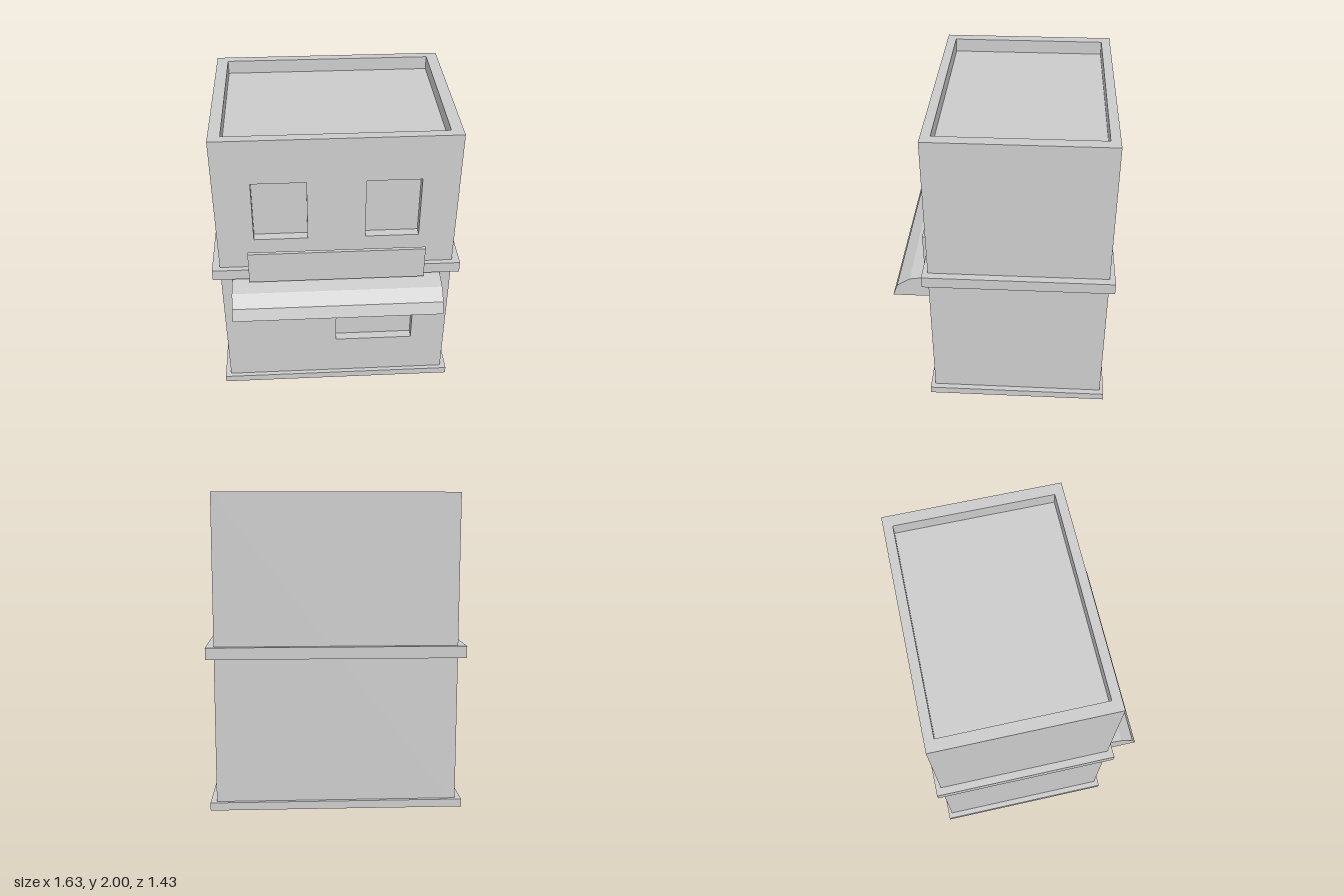
import * as THREE from 'three';

const material = new THREE.MeshStandardMaterial({ color: 0xcccccc, flatShading: true });

export function createModel() {
  const model = new THREE.Group();
  model.name = 'shopBuilding';

  const add = (name, geometry) => {
    const mesh = new THREE.Mesh(geometry, material);
    mesh.name = name;
    model.add(mesh);
  };
  // Box given by its limits on each axis
  const box = (name, [x0, x1], [y0, y1], [z0, z1]) => {
    const g = new THREE.BoxGeometry(x1 - x0, y1 - y0, z1 - z0);
    g.translate((x0 + x1) / 2, (y0 + y1) / 2, (z0 + z1) / 2);
    add(name, g);
  };
  const polygon = (points) => new THREE.Shape(points.map(([x, y]) => new THREE.Vector2(x, y)));
  const rect = (x0, x1, y0, y1) => polygon([[x0, y0], [x1, y0], [x1, y1], [x0, y1]]);
  const extrude = (shape, depth) => new THREE.ExtrudeGeometry(shape, { depth, bevelEnabled: false });

  const W = 0.765, IN = 0.69;             // outer and inner half width
  const BACK = -0.68, FRONT = 0.465;      // outer wall faces
  const INNER_BACK = -0.62, INNER_FRONT = 0.405;

  // Front wall with two upper windows and the serving window
  const wall = rect(-W, W, 0, 2);
  wall.holes.push(
    rect(0.185, 0.53, 1.27, 1.695),
    rect(-0.53, -0.185, 1.27, 1.695),
    rect(0, 0.53, 0.355, 0.765),
  );
  add('frontWall', extrude(wall, FRONT - INNER_FRONT).translate(0, 0, INNER_FRONT));

  // Side and back walls, rising above the roof as a parapet (plan drawn with y = -z)
  const plan = polygon([
    [-W, -INNER_FRONT], [-IN, -INNER_FRONT], [-IN, -INNER_BACK], [IN, -INNER_BACK],
    [IN, -INNER_FRONT], [W, -INNER_FRONT], [W, -BACK], [-W, -BACK],
  ]);
  add('sideAndBackWalls', extrude(plan, 2).rotateX(-Math.PI / 2));

  // Core: its top is the sunken roof, its front closes the window recesses
  box('roofAndCore', [-IN, IN], [0, 1.91], [INNER_BACK, INNER_FRONT]);

  // Plinth, floor band and sign board
  box('plinth', [-0.803, 0.803], [0, 0.05], [-0.705, 0.495]);
  box('floorBand', [-0.815, 0.815], [0.975, 1.05], [-0.715, 0.5]);
  box('signBoard', [-0.575, 0.575], [0.96, 1.19], [0.495, 0.518]);

  // Awning: curved side profile (z, y) extruded across the front
  const profile = polygon([
    [FRONT, 0.795], [0.715, 0.795], [0.685, 0.875], [0.6, 0.933], [FRONT, 0.955],
  ]);
  add('awning', extrude(profile, 2 * IN).rotateY(-Math.PI / 2).translate(IN, 0, 0));

  return model;
}
